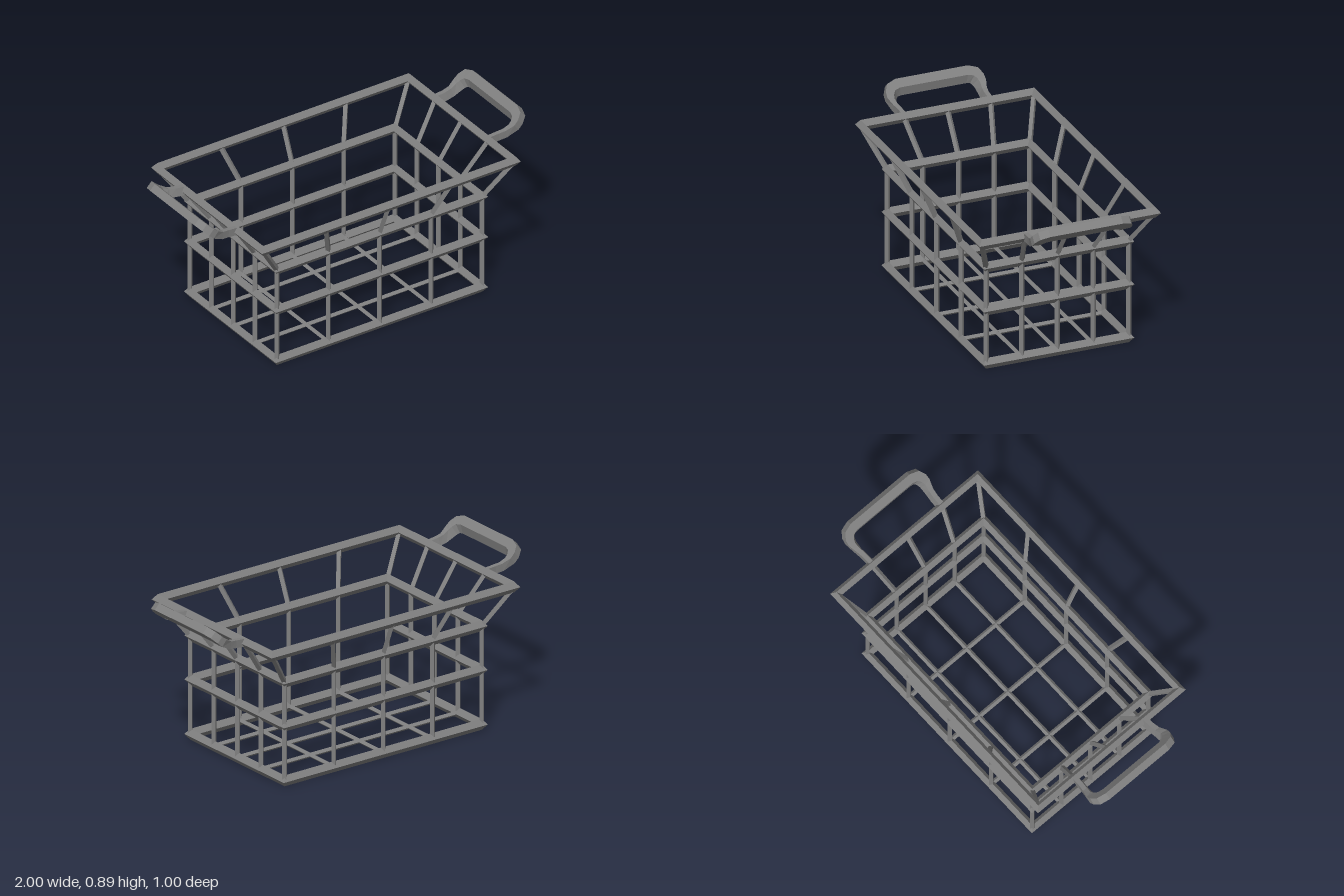
import * as THREE from 'three';

const mat = new THREE.MeshStandardMaterial({ color: 0x808080, flatShading: true });

// Mitred rectangular ring with a diamond section
function ring(name, hx, hz, y) {
  const w = 0.022, h = 0.03;
  const profile = [[0, -h], [w, 0], [0, h], [-w, 0], [0, -h]]
    .map(([d, v]) => new THREE.Vector2(Math.SQRT2 * (1 + d), v));
  const geo = new THREE.LatheGeometry(profile, 4).rotateY(Math.PI / 4);
  const p = geo.attributes.position;
  for (let i = 0; i < p.count; i++) {
    p.setX(i, p.getX(i) + Math.sign(p.getX(i)) * (hx - 1));
    p.setZ(i, p.getZ(i) + Math.sign(p.getZ(i)) * (hz - 1));
  }
  geo.computeVertexNormals();
  const mesh = new THREE.Mesh(geo, mat);
  mesh.position.y = y;
  mesh.name = name;
  return mesh;
}

// Four-sided wire between two points
function wire(name, a, b, r = 0.015) {
  const A = new THREE.Vector3(...a), B = new THREE.Vector3(...b);
  const dir = B.clone().sub(A);
  const mesh = new THREE.Mesh(new THREE.CylinderGeometry(r, r, dir.length(), 4), mat);
  mesh.position.copy(A).add(B).multiplyScalar(0.5);
  mesh.quaternion.setFromUnitVectors(new THREE.Vector3(0, 1, 0), dir.normalize());
  mesh.name = name;
  return mesh;
}

// Flat U-shaped grip bent upward along a side profile
function handle() {
  const side = new THREE.SplineCurve([[0.765, 0.772], [0.865, 0.784], [0.905, 0.803], [0.945, 0.838], [0.985, 0.877]]
    .map(q => new THREE.Vector2(...q)));
  const length = side.getLength(), t = 0.021;
  const bend = ([s, z], off) => {
    const u = Math.min(1, s / length);
    const c = side.getPointAt(u), d = side.getTangentAt(u);
    return [c.x - d.y * off, c.y + d.x * off, z];
  };
  const mix = (a, b, k) => a.map((v, n) => v + (b[n] - v) * k);
  // outer and inner edges of half the grip: distance from rim, z
  const half = [
    [[0, 0.25], [0, 0.212]],
    [[0.06, 0.252], [0.06, 0.214]],
    [[0.1, 0.258], [0.1, 0.218]],
    [[0.16, 0.272], [0.14, 0.217]],
    [[0.195, 0.27], [0.16, 0.21]],
    [[0.235, 0.25], [0.172, 0.2]],
    [[0.254, 0.2], [0.176, 0.18]]
  ];
  const flip = ([s, z]) => [s, -z];
  const path = [...half, ...half.map(([o, i]) => [flip(o), flip(i)]).reverse()];
  const pos = [], idx = [];
  // the upper inner edge is sloped back
  path.forEach(([o, i]) => pos.push(
    ...bend(o, t), ...bend(o, -t), ...bend(i, -t), ...bend(mix(i, o, 0.35), t)));
  for (let k = 0; k < path.length - 1; k++) {
    for (let j = 0; j < 4; j++) {
      const a = k * 4 + j, b = k * 4 + (j + 1) % 4;
      idx.push(a, a + 4, b, b, a + 4, b + 4);
    }
  }
  const e = (path.length - 1) * 4;
  idx.push(0, 1, 2, 0, 2, 3, e, e + 2, e + 1, e, e + 3, e + 2);
  const geo = new THREE.BufferGeometry();
  geo.setAttribute('position', new THREE.Float32BufferAttribute(pos, 3));
  geo.setIndex(idx);
  geo.computeVertexNormals();
  const m = mat.clone();
  m.side = THREE.DoubleSide;
  return new THREE.Mesh(geo, m);
}

export function createModel() {
  const basket = new THREE.Group();
  basket.name = 'wireBasket';
  const X = 0.626, Z = 0.393, rimX = 0.768, rimZ = 0.478;
  const yBase = 0.03, yTop = 0.568, yRim = 0.772;

  // Horizontal rings and flared rim
  basket.add(
    ring('baseRing', X, Z, yBase),
    ring('middleRing', X, Z, 0.328),
    ring('upperRing', X, Z, yTop),
    ring('rim', rimX, rimZ, yRim)
  );

  // Upright wires, each continued by a flared wire up to the rim
  const upright = (x, z, x2, z2) => basket.add(
    wire('uprightWire', [x, yBase, z], [x, yTop, z]),
    wire('flaredWire', [x, yTop, z], [x2, yRim, z2])
  );
  for (const s of [-1, 1]) {
    for (let i = -2; i <= 2; i++) upright(i / 2 * X, s * Z, i / 2 * rimX, s * rimZ);
    for (let i = -1; i <= 1; i++) upright(s * X, i / 2 * Z, s * rimX, i / 2 * rimZ);
  }

  // Floor grid
  for (let i = -1; i <= 1; i++) {
    basket.add(
      wire('floorWireLong', [-X, yBase, i / 2 * Z], [X, yBase, i / 2 * Z], 0.013),
      wire('floorWireShort', [i / 2 * X, yBase, -Z], [i / 2 * X, yBase, Z], 0.013)
    );
  }

  // Grips at both ends
  const left = handle(), right = handle();
  left.name = 'leftHandle';
  right.name = 'rightHandle';
  right.rotation.y = Math.PI;
  basket.add(left, right);
  return basket;
}
